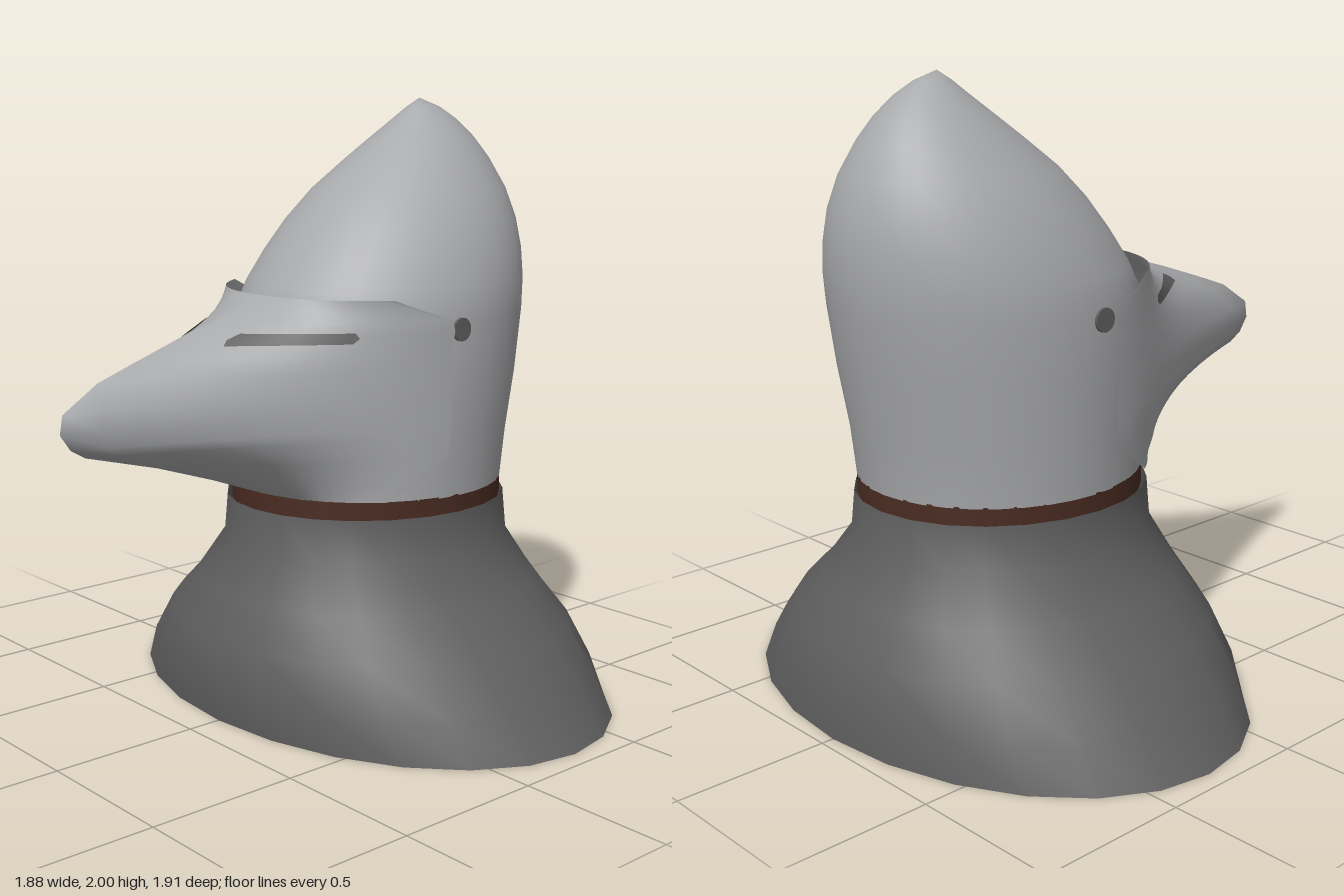
import * as THREE from 'three';
import { mergeVertices } from 'three/addons/utils/BufferGeometryUtils.js';

const mat = (name, color) => {
  const m = new THREE.MeshStandardMaterial({ color, side: THREE.DoubleSide });
  m.name = name;
  return m;
};

// Smooth surface through a grid of points: rows + 1 by cols + 1
function grid(rows, cols, point) {
  const pos = [], index = [];
  for (let r = 0; r <= rows; r++)
    for (let c = 0; c <= cols; c++) pos.push(...point(r, c));
  for (let r = 0; r < rows; r++)
    for (let c = 0; c < cols; c++) {
      const a = r * (cols + 1) + c, b = a + cols + 1;
      index.push(a, a + 1, b, a + 1, b + 1, b);
    }
  let g = new THREE.BufferGeometry();
  g.setAttribute('position', new THREE.Float32BufferAttribute(pos, 3));
  g.setIndex(index);
  g = mergeVertices(g, 1e-5);
  g.computeVertexNormals();
  return g;
}

// Loft of elliptical rings: [y, half width, front z, back z]
function loft(rings, segs) {
  return grid(rings.length - 1, segs, (r, c) => {
    const [y, w, f, b] = rings[r], t = ((c % segs) / segs) * Math.PI * 2;
    return [w * Math.sin(t), y, (f + b) / 2 + ((f - b) / 2) * Math.cos(t)];
  });
}

// Visor levels: [y, ridge z, rear edge z]
const LEVELS = [
  [0.745, 0.225, 0], [0.81, 0.4, -0.1], [0.88, 0.61, -0.19], [0.95, 0.87, -0.2],
  [0.98, 0.92, -0.2], [1.03, 0.955, -0.2], [1.09, 0.945, -0.2], [1.17, 0.82, -0.2],
  [1.22, 0.68, -0.2], [1.28, 0.5, -0.21], [1.315, 0.385, -0.2], [1.35, 0.28, -0.1], [1.385, 0.205, -0.01],
];
const ridgeAt = (y) => {
  const i = Math.max(1, LEVELS.findIndex((l) => l[0] >= y));
  const [y0, z0] = LEVELS[i - 1], [y1, z1] = LEVELS[i];
  return z0 + ((z1 - z0) * (y - y0)) / (y1 - y0);
};
// Curved face plate plus a beak that swells towards the centre line
const visorZ = (x, y) => {
  const u = Math.min(1, Math.abs(x) / 0.472);
  return -0.28 + 0.5 * Math.sqrt(1 - u * u) + (ridgeAt(y) - 0.22) * Math.pow(1 - u, 1.8);
};

export function createModel() {
  const group = new THREE.Group();
  const steel = mat('steel', 0xa8a9ab);
  const mail = mat('dark mail', 0x5f5f5f);
  const leather = mat('brown leather', 0x4a2c22);
  const add = (name, geometry, material) => {
    const m = new THREE.Mesh(geometry, material);
    m.name = name;
    group.add(m);
    return m;
  };

  // Flared mail collar, open at both ends
  add('mailCollar', loft([
    [0, 0.94, 0.385, -0.96], [0.13, 0.85, 0.4, -0.955], [0.27, 0.73, 0.375, -0.92],
    [0.4, 0.585, 0.31, -0.845], [0.54, 0.465, 0.24, -0.765], [0.685, 0.453, 0.228, -0.75],
  ], 24), mail);

  // Leather strap round the neck
  add('neckStrap', loft([
    [0.67, 0.44, 0.208, -0.738], [0.74, 0.44, 0.208, -0.738],
  ], 32), leather);

  // Pointed skull, leaning back to its peak
  add('skull', loft([
    [0.735, 0.44, 0.2, -0.738], [0.9, 0.448, 0.2, -0.758], [1.1, 0.455, 0.205, -0.8],
    [1.3, 0.452, 0.2, -0.835], [1.4, 0.433, 0.15, -0.848], [1.5, 0.402, 0.08, -0.85],
    [1.6, 0.358, 0, -0.84], [1.7, 0.3, -0.1, -0.81], [1.8, 0.222, -0.23, -0.757],
    [1.87, 0.16, -0.325, -0.705], [1.93, 0.098, -0.405, -0.642], [1.97, 0.05, -0.455, -0.58],
    [2, 0, -0.5, -0.5],
  ], 36), steel);

  // Beaked visor, wrapping round to the cheeks
  const cols = 32;
  add('visor', grid(LEVELS.length - 1, cols, (r, c) => {
    const [y, , rear] = LEVELS[r];
    const end = Math.acos((rear + 0.28) / 0.5);
    const x = 0.472 * Math.sin((c / cols) * 2 * end - end);
    return [x, y, visorZ(x, y)];
  }), steel);

  for (const side of [-1, 1]) {
    // Eye slit lying on the visor
    add(side > 0 ? 'leftEyeSlit' : 'rightEyeSlit', grid(2, 12, (r, c) => {
      const inset = r === 1 ? 0 : 0.01;
      const t = side > 0 ? c / 12 : 1 - c / 12;
      const x = 0.098 + inset + t * (0.25 - 2 * inset);
      const y = 1.255 + r * 0.0165;
      return [side * (x + 0.005), y, visorZ(x, y) + 0.006];
    }), mail);

    // Pivot disc at the temple
    const pivot = add(side > 0 ? 'leftPivot' : 'rightPivot',
      new THREE.CylinderGeometry(0.038, 0.038, 0.009, 16), mail);
    pivot.rotation.z = Math.PI / 2;
    pivot.rotation.y = 0;
    pivot.position.set(side * 0.457, 1.28, -0.25);
  }
  return group;
}
